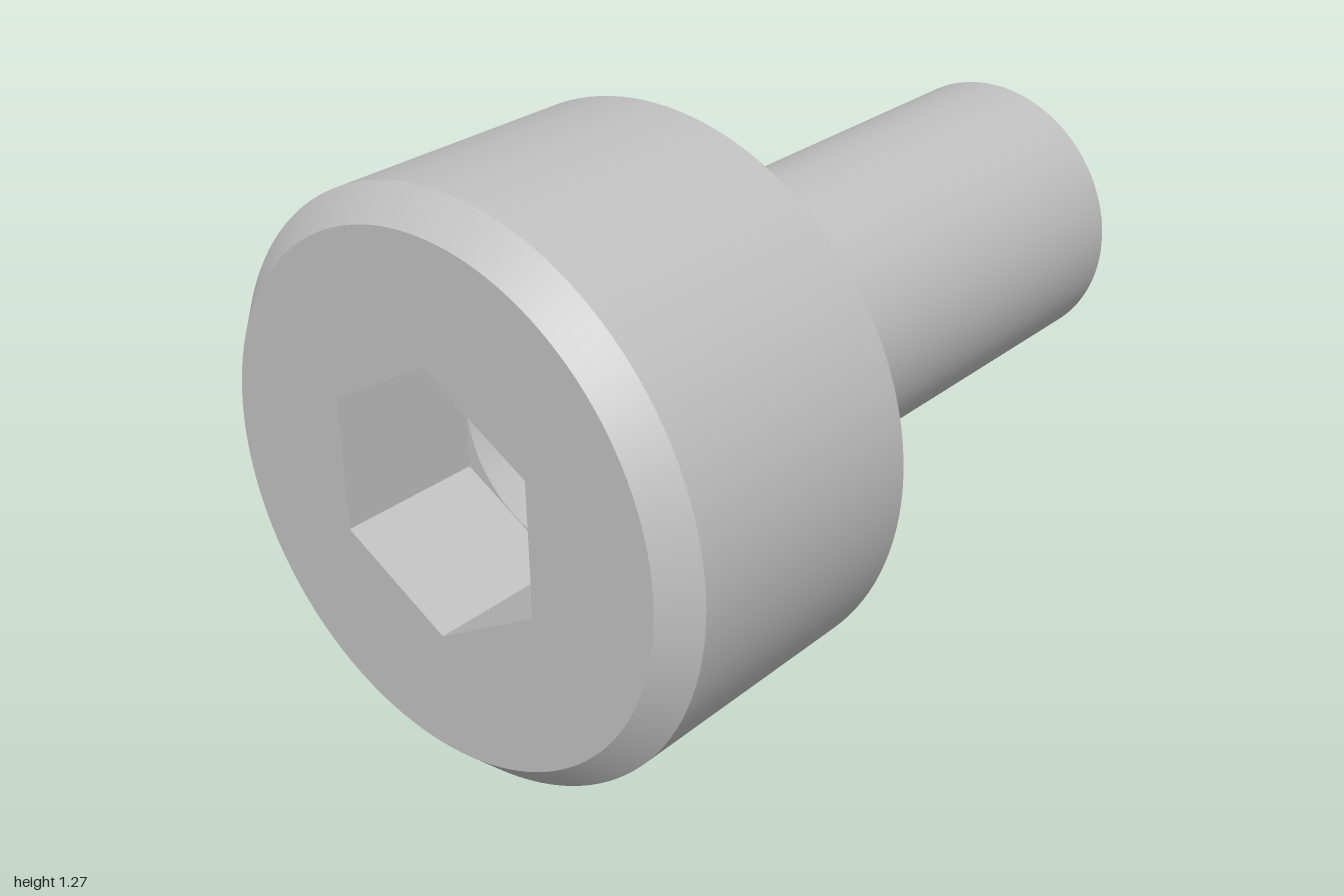
import * as THREE from 'three';
import { mergeGeometries } from 'three/addons/utils/BufferGeometryUtils.js';

const SEG = 128;
const HEAD_R = 0.633, HEAD_BACK = 0.335, HEAD_CHAMFER = 0.066;
const SHANK_R = 0.333, TIP_CHAMFER = 0.077, FILLET = 0.027;
const HEX_APOTHEM = 0.258, HEX_R = HEX_APOTHEM / Math.cos(Math.PI / 6);
const FLOOR_Z = 0.667, DRILL_R = 0.256;

// Revolve [radius, z] points about the z axis
function revolve(points, segments = SEG) {
  const g = new THREE.LatheGeometry(points.map(([r, z]) => new THREE.Vector2(r, z)), segments);
  return g.rotateX(Math.PI / 2);
}

// Revolve each span on its own so the corners between spans stay sharp
function revolveSharp(points) {
  return mergeGeometries(points.slice(1).map((p, i) => revolve([points[i], p])));
}

// Flat outline with a hole, facing +z
function plate(outline, hole, z) {
  outline.holes.push(hole);
  return new THREE.ShapeGeometry(outline, SEG / 2).translate(0, 0, z);
}

function circle(radius) {
  return new THREE.Shape().absarc(0, 0, radius, 0, Math.PI * 2);
}

// Hexagon with corners at top and bottom
function hexagon() {
  const corners = [];
  for (let i = 0; i < 6; i++) {
    const a = Math.PI / 2 + i * Math.PI / 3;
    corners.push(new THREE.Vector2(HEX_R * Math.cos(a), HEX_R * Math.sin(a)));
  }
  return new THREE.Shape(corners);
}

export function createModel() {
  const model = new THREE.Group();
  model.name = 'socketHeadScrew';
  const steel = new THREE.MeshStandardMaterial({ color: 0xc0c0c0 });
  steel.name = 'steel grey';

  const add = (name, geometry) => {
    const mesh = new THREE.Mesh(geometry, steel);
    mesh.name = name;
    mesh.position.y = HEAD_R;
    model.add(mesh);
  };

  // Shank with a chamfered tip
  add('shank', revolveSharp([
    [0, -1], [SHANK_R - TIP_CHAMFER, -1], [SHANK_R, -1 + TIP_CHAMFER], [SHANK_R, HEAD_BACK - FILLET],
  ]));

  // Rounded transition from shank to head
  const arc = [];
  for (let i = 0; i <= 8; i++) {
    const a = i / 8 * Math.PI / 2;
    arc.push([SHANK_R + FILLET * (1 - Math.cos(a)), HEAD_BACK - FILLET * (1 - Math.sin(a))]);
  }
  add('fillet', revolve(arc));

  // Cylindrical head with a chamfered front rim
  add('head', revolveSharp([
    [SHANK_R + FILLET, HEAD_BACK], [HEAD_R, HEAD_BACK],
    [HEAD_R, 1 - HEAD_CHAMFER], [HEAD_R - HEAD_CHAMFER, 1],
  ]));
  add('headFace', plate(circle(HEAD_R - HEAD_CHAMFER), hexagon(), 1));

  // Hexagonal socket: flat walls, floor corners and a drilled cone
  const walls = revolve([[HEX_R, 1], [HEX_R, FLOOR_Z]], 6).toNonIndexed();
  walls.computeVertexNormals();
  add('socketWalls', walls);
  add('socketFloor', plate(hexagon(), circle(DRILL_R), FLOOR_Z));
  add('socketCone', revolve([[DRILL_R, FLOOR_Z], [0, FLOOR_Z - DRILL_R * Math.tan(Math.PI / 6)]]));

  return model;
}
